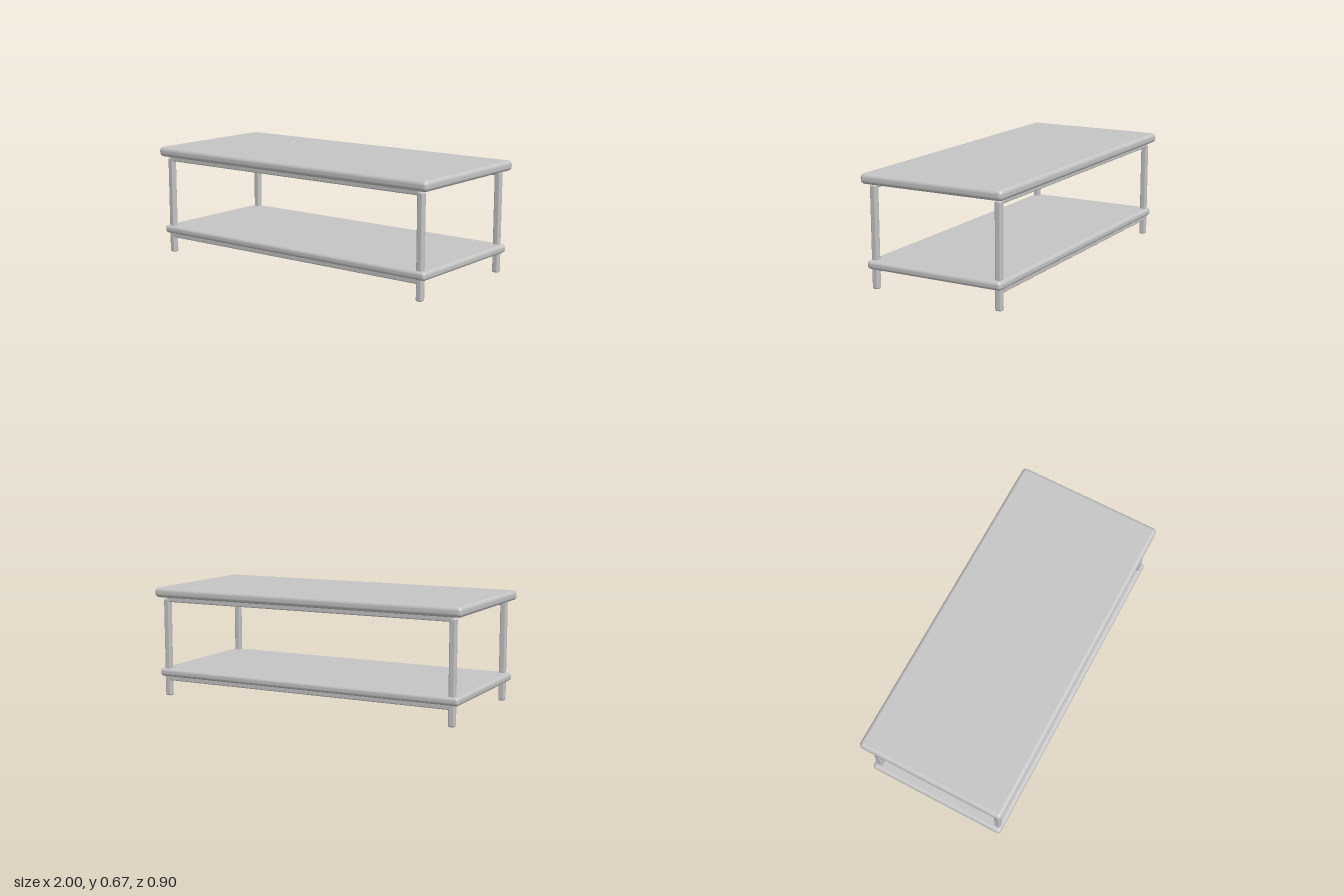
import * as THREE from 'three';
import { RoundedBoxGeometry } from 'three/addons/geometries/RoundedBoxGeometry.js';

export function createModel() {
  const table = new THREE.Group();
  table.name = 'coffeeTable';
  const grey = new THREE.MeshStandardMaterial({ color: 0xc4c4c4 });
  grey.name = 'light grey';

  // Soft-edged bar or board spanning bottom to top
  function addBox(name, width, depth, bottom, top, radius, x = 0, z = 0) {
    const geometry = new RoundedBoxGeometry(width, top - bottom, depth, 4, radius);
    const mesh = new THREE.Mesh(geometry, grey);
    mesh.name = name;
    mesh.position.set(x, (bottom + top) / 2, z);
    table.add(mesh);
  }

  // Boards
  addBox('tableTop', 2, 0.905, 0.608, 0.668, 0.024);
  addBox('lowerShelf', 1.965, 0.866, 0.12, 0.17, 0.02);

  for (const [end, z] of [['front', 0.4], ['back', -0.4]]) {
    // Legs
    for (const [side, x] of [['Left', 0.935], ['Right', -0.935]]) {
      addBox(`${end}${side}Leg`, 0.038, 0.038, 0, 0.6, 0.009, x, z);
    }
    // Long rails under each board
    addBox(`${end}UpperRail`, 1.87, 0.034, 0.58, 0.612, 0.007, 0, z);
    addBox(`${end}LowerRail`, 1.87, 0.034, 0.095, 0.125, 0.007, 0, z);
  }
  return table;
}
